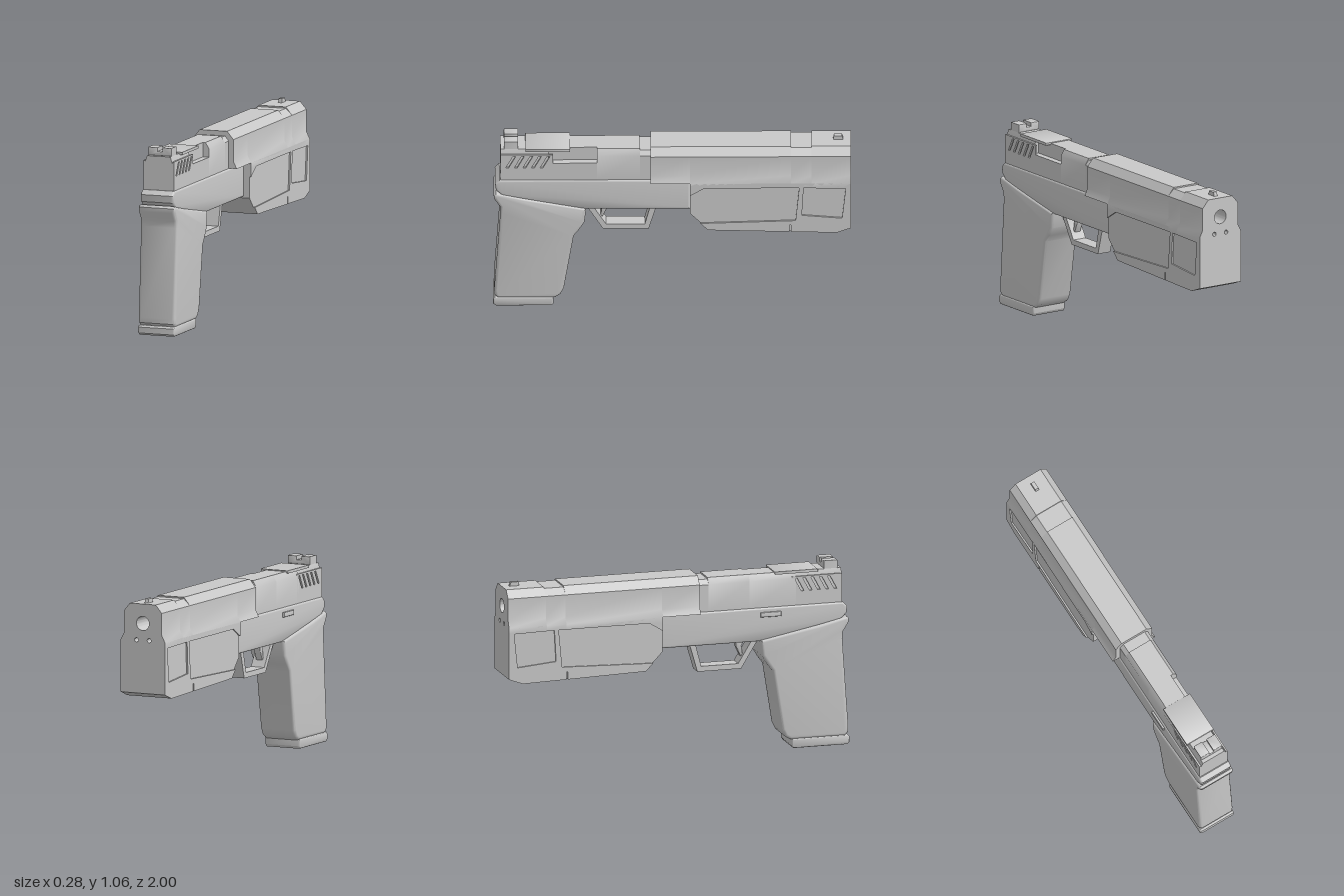
import * as THREE from 'three';
import { toCreasedNormals } from 'three/addons/utils/BufferGeometryUtils.js';

const grey = new THREE.MeshStandardMaterial({ color: 0xc8c8c8 });
grey.name = 'light grey';

const toPoints = (list) => list.map(([a, b]) => new THREE.Vector2(a, b));

function makeShape(outline, holes = []) {
  const shape = new THREE.Shape(toPoints(outline));
  holes.forEach((h) => shape.holes.push(h instanceof THREE.Path ? h : new THREE.Path(toPoints(h))));
  return shape;
}

function extrude(outline, depth, bevel, holes) {
  return new THREE.ExtrudeGeometry(makeShape(outline, holes), {
    depth: depth - 2 * bevel, bevelEnabled: bevel > 0, bevelThickness: bevel,
    bevelSize: bevel, bevelOffset: -bevel, bevelSegments: 4, curveSegments: 20,
  });
}

function addMesh(group, name, geometry) {
  const mesh = new THREE.Mesh(toCreasedNormals(geometry, 0.6), grey);
  mesh.name = name;
  group.add(mesh);
  return mesh;
}

// Side outline in (z, y), extruded across x from x0 to x1
function sidePart(group, name, outline, x0, x1, bevel = 0, holes = []) {
  const g = extrude(outline, x1 - x0, bevel, holes);
  g.rotateY(-Math.PI / 2).translate(x1 - bevel, 0, 0);
  return addMesh(group, name, g);
}

// Cross-section in (x, y), extruded along z from z0 to z1
function crossPart(group, name, outline, z0, z1, bevel = 0, holes = []) {
  const g = extrude(outline, z1 - z0, bevel, holes);
  g.translate(0, 0, z0 + bevel);
  return addMesh(group, name, g);
}

const mirrored = (half) => [...half, ...half.slice().reverse().map(([x, y]) => [-x, y])];
const rect = (a0, b0, a1, b1) => [[a0, b0], [a1, b0], [a1, b1], [a0, b1]];

function circle(x, y, r) {
  const p = new THREE.Path();
  p.absarc(x, y, r, 0, Math.PI * 2, true);
  return p;
}

export function createModel() {
  const model = new THREE.Group();
  model.name = 'model';

  // Front housing: chamfered top, flared bottom, shallow band across the top
  const housing = (bottom, top) => mirrored([
    [0.14, bottom], [0.14, 0.82], [0.12, 0.86], [0.12, 0.985], [0.082, top],
  ]);
  const rearHousing = mirrored([[0.14, 0.82], [0.12, 0.86], [0.12, 0.985], [0.082, 1.03]]);
  crossPart(model, 'housingRear', rearHousing, -0.1, 0.12);
  crossPart(model, 'housingMiddle', housing(0.79, 1.03), -0.665, -0.1);
  crossPart(model, 'housingBand', housing(0.79, 1.022), -0.78, -0.665);
  crossPart(model, 'housingMuzzle', housing(0.79, 1.03), -1, -0.78, 0, [
    circle(0, 0.92, 0.04), circle(-0.04, 0.825, 0.012), circle(0.04, 0.825, 0.012),
  ]);

  // Lower housing core with side skins that leave recessed panels
  sidePart(model, 'lowerHousing', [
    [-0.1, 0.82], [-0.1, 0.62], [-0.2, 0.515], [-0.92, 0.495], [-1, 0.525], [-1, 0.79], [-0.12, 0.79],
  ], -0.131, 0.131);
  const skin = [
    [-0.1, 0.82], [-0.1, 0.74], [-0.18, 0.79], [-0.71, 0.79], [-0.69, 0.575], [-0.2, 0.56],
    [-0.157, 0.56], [-0.2, 0.515], [-0.655, 0.502], [-0.655, 0.545], [-0.665, 0.545],
    [-0.665, 0.502], [-0.92, 0.495], [-1, 0.525], [-1, 0.82],
  ];
  const panel = [[-0.735, 0.79], [-0.97, 0.785], [-0.95, 0.59], [-0.725, 0.61]];
  for (const [x0, x1] of [[0.13, 0.14], [-0.14, -0.13]]) {
    sidePart(model, 'panelSkin', skin, x0, x1, 0, [panel]);
  }

  // Slide: rear core, port section with a cut on the left, and front section
  const slide = (w, top) => mirrored([[w, 0.82], [w, 0.975], [0.07, top]]);
  crossPart(model, 'slideRear', slide(0.082, 1.012), 0.69, 0.96);
  crossPart(model, 'slidePort', [
    [-0.092, 0.82], [0.092, 0.82], [0.092, 0.93], [0.055, 0.93], [0.055, 1.012],
    [-0.07, 1.012], [-0.092, 0.975],
  ], 0.42, 0.69);
  crossPart(model, 'slideFront', slide(0.092, 1.012), 0.18, 0.42);
  crossPart(model, 'slideNose', slide(0.092, 1.003), 0.1, 0.18);

  // Slanted grip grooves in the slide sides
  const grooves = [];
  for (let i = 0; i < 5; i++) {
    const z = 0.93 - 0.048 * i;
    grooves.push([[z, 0.9], [z - 0.016, 0.9], [z - 0.056, 0.975], [z - 0.04, 0.975]]);
  }
  for (const [x0, x1] of [[0.082, 0.092], [-0.092, -0.082]]) {
    sidePart(model, 'grooveSkin', rect(0.665, 0.82, 0.96, 0.985), x0, x1, 0, grooves);
  }

  // Cover plate and sights
  crossPart(model, 'coverPlate', rect(-0.088, 1.003, 0.088, 1.019), 0.57, 0.82, 0.003);
  crossPart(model, 'rearSight', [
    [-0.07, 1.012], [0.07, 1.012], [0.07, 1.058], [0.014, 1.058], [0.014, 1.036],
    [-0.014, 1.036], [-0.014, 1.058], [-0.07, 1.058],
  ], 0.86, 0.94, 0.004);
  sidePart(model, 'frontSight', [
    [-0.9, 1.02], [-0.905, 1.053], [-0.95, 1.053], [-0.96, 1.02],
  ], -0.011, 0.011);

  // Frame and slide catch
  sidePart(model, 'frame', [
    [0.965, 0.82], [-0.1, 0.82], [-0.1, 0.628], [0.5, 0.628], [0.95, 0.72], [0.985, 0.755], [0.99, 0.795],
  ], -0.099, 0.099, 0.012);
  sidePart(model, 'slideCatch', rect(0.48, 0.768, 0.6, 0.795), -0.11, -0.09, 0.003);

  // Grip and base plate
  sidePart(model, 'grip', [
    [0.985, 0.738], [0.82, 0.7], [0.48, 0.635], [0.49, 0.545], [0.52, 0.495], [0.55, 0.455],
    [0.605, 0.11], [0.625, 0.07], [0.655, 0.05], [0.975, 0.05], [0.993, 0.07], [0.995, 0.1],
    [0.96, 0.61], [0.963, 0.65], [0.995, 0.7], [0.998, 0.725],
  ], -0.11, 0.11, 0.018);
  sidePart(model, 'basePlate', [
    [0.672, 0], [0.985, 0], [1, 0.012], [1, 0.045], [0.99, 0.056], [0.662, 0.056], [0.662, 0.015],
  ], -0.11, 0.11, 0.01);

  // Trigger guard and trigger
  sidePart(model, 'triggerGuard', [
    [0.48, 0.64], [0.48, 0.62], [0.385, 0.465], [0.13, 0.465], [0.08, 0.64], [0.115, 0.64],
    [0.152, 0.495], [0.368, 0.495], [0.445, 0.62], [0.445, 0.64],
  ], -0.042, 0.042);
  sidePart(model, 'trigger', [
    [0.42, 0.64], [0.36, 0.64], [0.362, 0.59], [0.388, 0.532], [0.402, 0.535], [0.393, 0.59],
  ], -0.02, 0.02, 0.003);

  return model;
}
